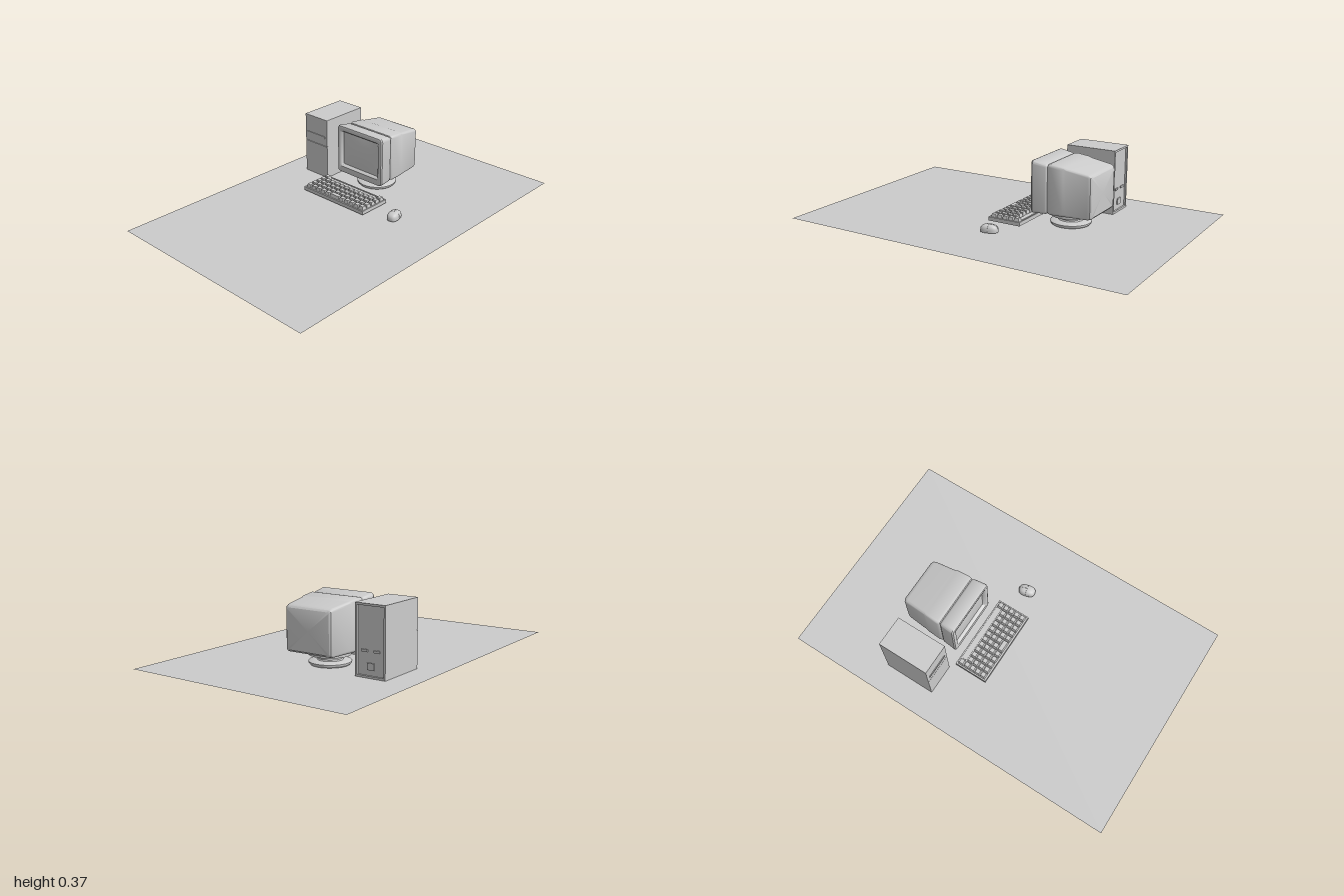
import * as THREE from 'three';
import { toCreasedNormals } from 'three/addons/utils/BufferGeometryUtils.js';

const grey = new THREE.MeshStandardMaterial({ color: 0xcccccc });
const greyDouble = new THREE.MeshStandardMaterial({ color: 0xcccccc, side: THREE.DoubleSide });

function add(parent, name, geometry, x = 0, y = 0, z = 0, material = grey) {
  const mesh = new THREE.Mesh(geometry, material);
  mesh.name = name;
  mesh.position.set(x, y, z);
  parent.add(mesh);
  return mesh;
}

function addGroup(parent, name, x = 0, y = 0, z = 0) {
  const group = new THREE.Group();
  group.name = name;
  group.position.set(x, y, z);
  parent.add(group);
  return group;
}

// Box given by its limits on each axis
function addBox(parent, name, [x0, x1], [y0, y1], [z0, z1]) {
  return add(parent, name, new THREE.BoxGeometry(x1 - x0, y1 - y0, z1 - z0),
    (x0 + x1) / 2, (y0 + y1) / 2, (z0 + z1) / 2);
}

// Rounded-rectangle sections [z, halfWidth, bottom, top, radius], front to back
function loft(sections, steps = 5, crease = 0.6) {
  const pos = [], index = [], n = 4 * (steps + 1);
  for (const [z, hw, y0, y1, r] of sections) {
    const corners = [[hw - r, y1 - r], [r - hw, y1 - r], [r - hw, y0 + r], [hw - r, y0 + r]];
    corners.forEach(([cx, cy], q) => {
      for (let k = 0; k <= steps; k++) {
        const a = (q + k / steps) * Math.PI / 2;
        pos.push(cx + r * Math.cos(a), cy + r * Math.sin(a), z);
      }
    });
  }
  const last = sections.length - 1;
  for (const s of [0, last]) pos.push(0, (sections[s][2] + sections[s][3]) / 2, sections[s][0]);
  const front = n * (last + 1), back = front + 1;
  for (let j = 0; j < n; j++) {
    const k = (j + 1) % n;
    for (let i = 0; i < last; i++) {
      const a = i * n + j, b = i * n + k;
      index.push(a, a + n, b, b, a + n, b + n);
    }
    index.push(front, j, k, back, last * n + k, last * n + j);
  }
  const g = new THREE.BufferGeometry();
  g.setAttribute('position', new THREE.Float32BufferAttribute(pos, 3));
  g.setIndex(index);
  return toCreasedNormals(g, crease);
}

function buildTower(parent) {
  const tower = addGroup(parent, 'computerTower', -0.4175);
  addBox(tower, 'towerCase', [-0.0875, 0.0875], [0.001, 0.365], [-0.465, -0.185]);
  // Front panel split by a thin seam
  addBox(tower, 'frontPanelLower', [-0.0875, 0.0875], [0.001, 0.198], [-0.186, -0.18]);
  addBox(tower, 'frontPanelUpper', [-0.0875, 0.0875], [0.201, 0.365], [-0.186, -0.18]);
  addBox(tower, 'driveSlot', [-0.07, 0.07], [0.246, 0.26], [-0.182, -0.176]);
  // Raised rim around the rear panel
  const rim = [[-0.0875, -0.077, 0.001, 0.365], [0.077, 0.0875, 0.001, 0.365],
    [-0.077, 0.077, 0.001, 0.012], [-0.077, 0.077, 0.354, 0.365]];
  for (const [x0, x1, y0, y1] of rim) addBox(tower, 'rearRim', [x0, x1], [y0, y1], [-0.475, -0.464]);
  for (const s of [-1, 1]) {
    addBox(tower, 'rearPort', [s * 0.035 - 0.016, s * 0.035 + 0.016], [0.128, 0.14], [-0.471, -0.464]);
  }
  addBox(tower, 'powerSocket', [-0.02, 0.02], [0.04, 0.075], [-0.471, -0.464]);
}

function buildMonitor(parent) {
  const monitor = addGroup(parent, 'monitor', -0.0825);
  // Rounded bezel, running from the recess around the screen to its back edge
  add(monitor, 'bezel', loft([
    [-0.204, 0.133, 0.123, 0.327, 0.006],
    [-0.19, 0.137, 0.119, 0.331, 0.008],
    [-0.184, 0.143, 0.113, 0.337, 0.01],
    [-0.182, 0.155, 0.086, 0.354, 0.014],
    [-0.185, 0.163, 0.078, 0.362, 0.018],
    [-0.193, 0.1675, 0.075, 0.365, 0.02],
    [-0.265, 0.161, 0.078, 0.353, 0.018],
    [-0.273, 0.157, 0.082, 0.349, 0.016],
    [-0.28, 0.149, 0.09, 0.341, 0.012]]));
  // Slightly bulging glass
  const glass = new THREE.PlaneGeometry(0.27, 0.208, 16, 12), p = glass.attributes.position;
  for (let i = 0; i < p.count; i++) {
    const u = p.getX(i) / 0.135, v = p.getY(i) / 0.104;
    p.setZ(i, 0.009 * (1 - u * u) * (1 - v * v));
  }
  glass.computeVertexNormals();
  add(monitor, 'screen', glass, 0, 0.225, -0.2035);
  // Housing tapering to the back
  add(monitor, 'rearHousing', loft([
    [-0.272, 0.149, 0.09, 0.341, 0.012],
    [-0.28, 0.157, 0.081, 0.351, 0.016],
    [-0.296, 0.161, 0.078, 0.354, 0.016],
    [-0.37, 0.157, 0.078, 0.346, 0.016],
    [-0.385, 0.153, 0.078, 0.341, 0.016],
    [-0.505, 0.143, 0.079, 0.324, 0.016],
    [-0.52, 0.139, 0.083, 0.318, 0.016],
    [-0.527, 0.13, 0.092, 0.308, 0.012]]));
  // Swivel stand: dish foot, neck and upper plate
  const profile = [[0, 0.001], [0.104, 0.001], [0.112, 0.01], [0.113, 0.018], [0.108, 0.022],
    [0.068, 0.026], [0.063, 0.032], [0.063, 0.05], [0.11, 0.052], [0.11, 0.082], [0, 0.082]];
  const stand = new THREE.LatheGeometry(profile.map(([x, y]) => new THREE.Vector2(x, y)), 40);
  add(monitor, 'swivelStand', toCreasedNormals(stand, 0.6), 0, 0, -0.341);
}

function buildKeyboard(parent) {
  const keyboard = addGroup(parent, 'keyboard', -0.075, 0, -0.057);
  const w = 0.225, d = 0.098;
  addBox(keyboard, 'keyboardBase', [-w, w], [0.013, 0.03], [-d, d]);
  // Raised edge around the keys
  for (const s of [-1, 1]) {
    addBox(keyboard, 'sideEdge', [s * 0.2215 - 0.0035, s * 0.2215 + 0.0035], [0.029, 0.034], [-d, d]);
    addBox(keyboard, 'longEdge', [-0.218, 0.218], [0.029, 0.034], [s * 0.0945 - 0.0035, s * 0.0945 + 0.0035]);
  }
  // Keycap: a box with its upper face drawn in
  const pitchX = 0.0363, pitchZ = 0.0355;
  function key(name, x, z, width = 0.033) {
    const g = new THREE.BoxGeometry(width, 0.021, 0.032), p = g.attributes.position;
    for (let i = 0; i < p.count; i++) {
      if (p.getY(i) < 0) continue;
      p.setX(i, p.getX(i) - Math.sign(p.getX(i)) * 0.004);
      p.setZ(i, p.getZ(i) * 0.75);
    }
    g.computeVertexNormals();
    add(keyboard, name, g, x, 0.0405, z);
  }
  for (let row = 0; row < 5; row++) {
    for (let col = 0; col < 12; col++) {
      if (row === 0 && col > 0 && col < 11) continue;
      if (row === 4 && (col === 5 || col === 6)) continue;
      key('key', (col - 5.5) * pitchX, (row - 2) * pitchZ);
    }
  }
  key('spaceBar', 0, 2 * pitchZ, 0.033 + pitchX);
  // Plain strip between the two corner keys
  addBox(keyboard, 'topStrip', [-0.178, 0.178], [0.029, 0.034], [-0.085, -0.057]);
}

function buildMouse(parent) {
  const mouse = addGroup(parent, 'mouse', 0.291, 0, -0.057);
  mouse.rotation.y = 0.22;
  const soft = (v, e) => Math.sign(v) * Math.abs(v) ** e;
  // Point on the squarish dome for a plan direction and an elevation
  const dome = (a, e, grow = 1) => new THREE.Vector3(
    0.032 * grow * soft(Math.cos(a), 0.75) * soft(Math.cos(e), 0.7),
    0.018 + 0.032 * grow * soft(Math.sin(e), 0.8),
    0.048 * grow * soft(Math.sin(a), 0.75) * soft(Math.cos(e), 0.7));
  const shell = new THREE.SphereGeometry(1, 32, 10, 0, Math.PI * 2, 0, Math.PI / 2);
  const p = shell.attributes.position;
  for (let i = 0; i < p.count; i++) {
    const e = Math.asin(Math.min(1, Math.max(0, p.getY(i))));
    const q = dome(Math.atan2(p.getZ(i), p.getX(i)), e);
    p.setXYZ(i, q.x, q.y, q.z);
  }
  shell.computeVertexNormals();
  add(mouse, 'mouseShell', shell);
  // Straight-sided base under the dome
  const outline = new THREE.Shape(Array.from({ length: 32 }, (_, i) => {
    const q = dome(i / 32 * Math.PI * 2, 0);
    return new THREE.Vector2(q.x, q.z);
  }));
  const base = new THREE.ExtrudeGeometry(outline, { depth: 0.009, bevelEnabled: false });
  base.rotateX(-Math.PI / 2);
  add(mouse, 'mouseBase', toCreasedNormals(base, 0.6), 0, 0.01, 0);
  // Ridges marking the two buttons
  const ridge = pts => new THREE.TubeGeometry(new THREE.CatmullRomCurve3(pts), 20, 0.0009, 5);
  const split = [], across = [];
  for (let i = 0; i <= 8; i++) {
    split.push(dome(-Math.PI / 2, i / 8 * Math.PI / 2));
    const t = i / 8 * Math.PI;
    across.push(dome(t < Math.PI / 2 ? 0 : Math.PI, t < Math.PI / 2 ? t : Math.PI - t));
  }
  add(mouse, 'buttonSplit', ridge(split));
  add(mouse, 'buttonEdge', ridge(across));
}

export function createModel() {
  const model = new THREE.Group();
  model.name = 'desktopComputer';
  // Flat desk surface
  add(model, 'deskSurface', new THREE.PlaneGeometry(1.31, 2).rotateX(-Math.PI / 2), 0, 0, 0, greyDouble);
  buildTower(model);
  buildMonitor(model);
  buildKeyboard(model);
  buildMouse(model);
  return model;
}
